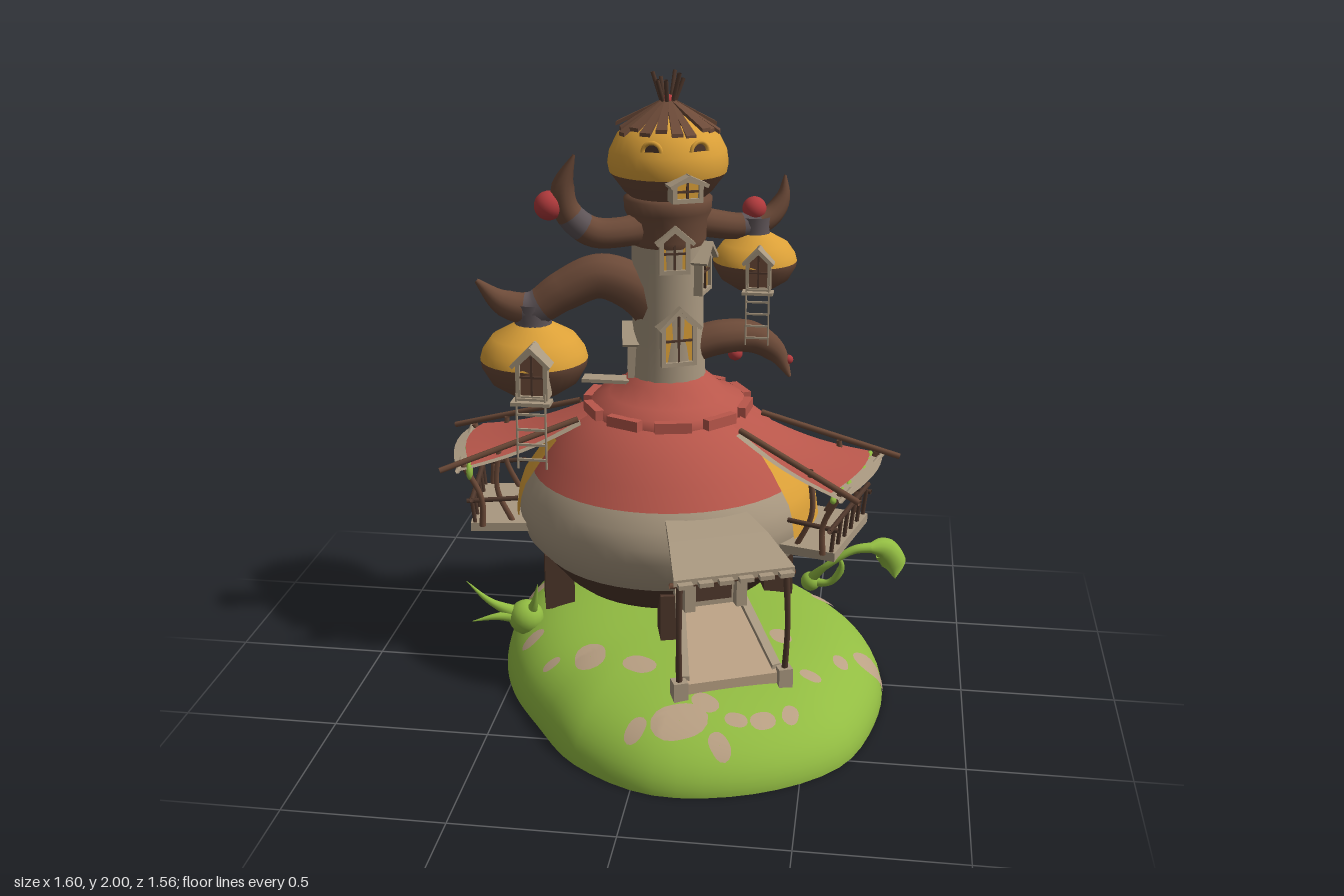
import * as THREE from 'three';
import { ParametricGeometry } from 'three/addons/geometries/ParametricGeometry.js';

const mat = (name, color, side = THREE.DoubleSide) => {
  const m = new THREE.MeshStandardMaterial({ color, side });
  m.name = name;
  return m;
};
const RED = mat('roofRed', 0xb9574b), BEIGE = mat('plaster', 0xa99880), ORANGE = mat('amber', 0xdba038),
  BROWN = mat('bark', 0x6c4a38), DARK = mat('darkWood', 0x50382c), GREEN = mat('grass', 0x92bc42),
  PATCH = mat('earthPatch', 0xbaa184), SLATE = mat('greyBark', 0x5f5558), BERRY = mat('berry', 0xb03a3c);

const CX = -0.02, CZ = -0.22; // axis of the house
const rad = THREE.MathUtils.degToRad;
const V = (p) => new THREE.Vector3(...p);

function add(parent, name, geo, material, x = 0, y = 0, z = 0) {
  const m = new THREE.Mesh(geo, material);
  m.name = name;
  m.position.set(x, y, z);
  parent.add(m);
  return m;
}
function sub(parent, name, x = 0, y = 0, z = 0, ry = 0) {
  const g = new THREE.Group();
  g.name = name;
  g.position.set(x, y, z);
  g.rotation.y = ry;
  parent.add(g);
  return g;
}
const box = (p, name, m, w, h, d, x, y, z) => add(p, name, new THREE.BoxGeometry(w, h, d), m, x, y, z);
const lathe = (pts, seg = 40, a = 0, len = Math.PI * 2) =>
  new THREE.LatheGeometry(pts.map((p) => new THREE.Vector2(...p)), seg, a, len);

// tapered board running along z: width w0 at (y0,z0) to w1 at (y1,z1)
function slab(z0, y0, w0, z1, y1, w1, t) {
  const g = new THREE.BoxGeometry(1, 1, 1), p = g.attributes.position;
  for (let i = 0; i < p.count; i++) {
    const end = p.getZ(i) > 0;
    p.setXYZ(i, p.getX(i) * (end ? w1 : w0), (end ? y1 : y0) + p.getY(i) * t, end ? z1 : z0);
  }
  g.computeVertexNormals();
  return g;
}
// tube through points whose radius follows a list of values; band = grey part of its length
function limb(parent, name, pts, radii, material, band, sides = 12) {
  const curve = new THREE.CatmullRomCurve3(pts.map(V)), n = pts.length * 6;
  const g = new THREE.TubeGeometry(curve, n, 1, sides), p = g.attributes.position, v = new THREE.Vector3();
  for (let i = 0; i <= n; i++) {
    const t = i / n, c = curve.getPointAt(t), f = t * (radii.length - 1), k = Math.min(Math.floor(f), radii.length - 2);
    const r = THREE.MathUtils.lerp(radii[k], radii[k + 1], f - k);
    for (let j = 0; j <= sides; j++) {
      const q = i * (sides + 1) + j;
      v.fromBufferAttribute(p, q).sub(c).multiplyScalar(r).add(c);
      p.setXYZ(q, v.x, v.y, v.z);
    }
  }
  if (!band) return add(parent, name, g, material);
  const a = Math.round(band[0] * n) * sides * 6, b = Math.round(band[1] * n) * sides * 6;
  g.addGroup(0, a, 0);
  g.addGroup(a, b - a, 1);
  g.addGroup(b, n * sides * 6 - b, 0);
  return add(parent, name, g, [material, SLATE]);
}
const stick = (p, name, a, b, r, m) =>
  add(p, name, new THREE.TubeGeometry(new THREE.LineCurve3(V(a), V(b)), 1, r, 6), m);
const ball = (p, x, y, z, r) => add(p, 'berry', new THREE.SphereGeometry(r, 20, 14), BERRY, x, y, z);

// gabled window or door facing local +z, standing on y = 0
function gable(parent, name, w, h, depth, pane) {
  const g = sub(parent, name), e = h * 0.7;
  const outline = (C, k) => {
    const s = new C();
    s.moveTo(-w / 2 + k, k); s.lineTo(w / 2 - k, k); s.lineTo(w / 2 - k, e);
    s.lineTo(0, h - k); s.lineTo(-w / 2 + k, e); s.closePath();
    return s;
  };
  const frame = outline(THREE.Shape, 0);
  frame.holes.push(outline(THREE.Path, 0.014));
  add(g, 'frame', new THREE.ExtrudeGeometry(frame, { depth, bevelEnabled: false }), BEIGE, 0, 0, -depth);
  add(g, 'pane', new THREE.ShapeGeometry(outline(THREE.Shape, 0.008)), pane, 0, 0, -0.012);
  box(g, 'mullion', DARK, 0.007, h * 0.85, 0.008, 0, h * 0.46, -0.008);
  box(g, 'crossbar', DARK, w * 0.8, 0.007, 0.008, 0, h * 0.45, -0.008);
  for (const s of [-1, 1]) {
    const rise = h - e, len = Math.hypot(w / 2, rise) + 0.018;
    const b = box(g, 'gableBoard', BEIGE, len, 0.012, depth + 0.02, s * (w / 4 + 0.004), e + rise / 2 + 0.002, -depth / 2 + 0.008);
    b.rotation.z = -s * Math.atan2(rise, w / 2);
  }
  return g;
}
function ladder(parent, w, y0, y1, z, x) {
  const g = sub(parent, 'ladder', x, 0, z);
  for (const s of [-1, 1]) stick(g, 'ladderRail', [s * w / 2, y0, 0], [s * w / 2, y1, 0], 0.004, BEIGE);
  for (let i = 0; i < 5; i++) box(g, 'rung', BEIGE, w, 0.008, 0.008, 0, y0 + (i + 0.6) * (y1 - y0) / 5, 0);
}

// island: radius by direction, every 22.5 degrees
const RADII = [0.665, 0.70, 0.77, 0.785, 0.775, 0.69, 0.60, 0.59, 0.62, 0.69, 0.82, 0.83, 0.75, 0.68, 0.64, 0.645];
const shore = new THREE.CatmullRomCurve3(RADII.map((r, i) =>
  new THREE.Vector3(0.07 + r * Math.cos(i * Math.PI / 8), 0, r * Math.sin(i * Math.PI / 8))), true);
function groundY(x, z) {
  const f = ((Math.atan2(z, x - 0.07) / (Math.PI / 8)) + 16) % 16, k = Math.floor(f);
  const R = THREE.MathUtils.lerp(RADII[k % 16], RADII[(k + 1) % 16], f - k);
  return 0.225 * Math.sqrt(Math.max(0, 1 - Math.pow(Math.hypot(x - 0.07, z) / R, 3.5)));
}
function island(root) {
  const g = sub(root, 'island');
  const sheet = (height) => (u, v, t) => {
    const s = 0.01 + 0.99 * Math.sin(v * Math.PI / 2), p = shore.getPoint(u % 1);
    t.set(0.07 + (p.x - 0.07) * s, height * Math.sqrt(Math.max(0, 1 - Math.pow(s, 3.5))), p.z * s);
  };
  add(g, 'grassMound', new ParametricGeometry(sheet(0.225), 64, 20), GREEN);
  add(g, 'islandBase', new ParametricGeometry((u, v, t) => sheet(0)(1 - u, v, t), 64, 2), GREEN);
  const spots = [[-0.42, -0.63, 0.04], [-0.13, -0.74, 0.035], [-0.43, 0.12, 0.035], [-0.2, 0.31, 0.06], [-0.03, 0.37, 0.05],
    [0.13, 0.62, 0.075], [0, 0.65, 0.035], [0.4, 0.12, 0.04], [0.51, 0.32, 0.03], [0.38, 0.57, 0.035], [0.46, 0.52, 0.03],
    [0.26, 0.68, 0.035], [0.3, 0.59, 0.03], [0.69, 0.08, 0.05], [0.6, 0.18, 0.03], [0.2, 0.54, 0.04], [0.52, -0.3, 0.035],
    [-0.5, -0.3, 0.04], [0.28, -0.58, 0.035], [0.05, -0.7, 0.03], [-0.33, 0.3, 0.025]];
  spots.forEach(([x, z, r], i) => add(g, 'earthPatch', new ParametricGeometry((u, v, t) => {
    const a = u * Math.PI * 2, q = r * (0.01 + v) * (1 + 0.18 * Math.sin(2 * a + i * 1.7));
    const px = x + Math.cos(a) * q, pz = z + Math.sin(a) * q;
    t.set(px, groundY(px, pz) + 0.005, pz);
  }, 18, 4), PATCH));
  // sprouts
  for (const [x, z, r] of [[0.47, -0.42, 0.035], [-0.48, 0, 0.06]])
    add(g, 'sproutBulb', new THREE.SphereGeometry(r, 16, 12), GREEN, x, 0.17, z);
  limb(g, 'tendril', [[0.46, 0.17, -0.42], [0.53, 0.25, -0.39], [0.62, 0.31, -0.4], [0.69, 0.315, -0.42]], [0.022, 0.012, 0.014, 0.02], GREEN);
  const leaf = limb(g, 'leaf', [[0.67, 0.315, -0.41], [0.72, 0.31, -0.43], [0.76, 0.26, -0.44], [0.77, 0.19, -0.44]], [0.012, 0.045, 0.045, 0.001], GREEN);
  leaf.scale.z = 0.999;
  limb(g, 'tendril', [[0.46, 0.17, -0.42], [0.54, 0.18, -0.4], [0.58, 0.25, -0.39], [0.56, 0.3, -0.39]], [0.02, 0.012, 0.014, 0.001], GREEN);
  for (const [a, b] of [[[-0.6, 0.23, 0.02], [-0.68, 0.3, 0.02]], [[-0.57, 0.18, 0.03], [-0.66, 0.16, 0.04]], [[-0.45, 0.22, 0.02], [-0.43, 0.31, 0.03]]])
    limb(g, 'tendril', [[-0.48, 0.17, 0], a, b], [0.03, 0.013, 0.001], GREEN);
}

// covered balcony facing local +z
function balcony(root, phi) {
  const g = sub(root, 'balcony', CX, 0, CZ, phi);
  const roof = (r0, r1, dw, dy) => new ParametricGeometry((u, v, t) => {
    const x = (u - 0.5) * 2, r = r0 + (r1 - r0) * v, w = 0.09 + dw + 0.12 * v;
    t.set(x * w, 0.885 - 0.13 * v - 0.02 * Math.sin(v * Math.PI) + dy - 0.012 * x * x, r - 0.035 * x * x * v);
  }, 8, 10);
  add(g, 'awningTrim', roof(0.27, 0.725, 0.012, -0.012), BEIGE);
  add(g, 'awningTop', roof(0.27, 0.685, -0.004, 0.004), RED);
  for (const s of [-1, 1]) {
    stick(g, 'awningBeam', [s * 0.1, 0.87, 0.3], [s * 0.225, 0.735, 0.75], 0.01, BROWN);
    limb(g, 'awningPost', [[s * 0.18, 0.52, 0.62], [s * 0.185, 0.62, 0.62], [s * 0.19, 0.75, 0.68]], [0.011, 0.009, 0.011], BROWN, null, 6);
    limb(g, 'innerPost', [[s * 0.15, 0.52, 0.52], [s * 0.15, 0.64, 0.57], [s * 0.15, 0.79, 0.56]], [0.01, 0.009, 0.01], BROWN, null, 6);
    stick(g, 'sideRail', [s * 0.18, 0.62, 0.5], [s * 0.18, 0.61, 0.67], 0.008, DARK);
  }
  stick(g, 'eaveBeam', [-0.23, 0.735, 0.69], [0.23, 0.735, 0.69], 0.009, BEIGE);
  box(g, 'deck', BEIGE, 0.36, 0.03, 0.2, 0, 0.515, 0.56);
  box(g, 'deckBracket', BEIGE, 0.2, 0.03, 0.12, 0, 0.49, 0.53);
  stick(g, 'railTop', [-0.21, 0.615, 0.65], [0.21, 0.625, 0.65], 0.009, DARK);
  for (let i = 0; i < 6; i++) stick(g, 'baluster', [-0.17 + i * 0.068, 0.52, 0.645], [-0.175 + i * 0.07, 0.62, 0.655], 0.007, DARK);
  for (let i = 0; i < 9; i++) {
    const l = add(g, 'eaveLeaf', new THREE.SphereGeometry(1, 8, 6), GREEN, -0.19 + i * 0.0475, 0.722, 0.68 - 0.0015 * (i - 4) ** 2);
    l.scale.set(0.028, 0.016 + 0.008 * (i % 3), 0.012);
  }
  add(g, 'balconyDoor', lathe([[0.518, 0.53], [0.508, 0.6], [0.493, 0.645], [0.465, 0.685], [0.427, 0.74], [0.385, 0.79]], 10, -0.24, 0.48), ORANGE);
}

function entrance(root) {
  const g = sub(root, 'entrance', CX, 0, CZ, rad(23.5));
  box(g, 'vestibule', BEIGE, 0.2, 0.25, 0.14, 0, 0.515, 0.46);
  box(g, 'doorRecess', DARK, 0.12, 0.18, 0.008, 0, 0.5, 0.533);
  for (const s of [-1, 1]) box(g, 'doorJamb', BEIGE, 0.035, 0.25, 0.04, s * 0.085, 0.515, 0.545);
  add(g, 'ramp', slab(0.46, 0.405, 0.16, 0.735, 0.21, 0.33, 0.045), PATCH);
  add(g, 'canopy', slab(0.44, 0.655, 0.265, 0.58, 0.635, 0.32, 0.02), BEIGE);
  add(g, 'canopy', slab(0.58, 0.635, 0.32, 0.75, 0.585, 0.385, 0.02), BEIGE);
  for (let i = 0; i < 6; i++) box(g, 'canopyShingle', BEIGE, 0.045, 0.014, 0.04, -0.16 + i * 0.064, 0.58, 0.755);
  stick(g, 'canopyBeam', [-0.2, 0.57, 0.73], [0.2, 0.57, 0.73], 0.009, BROWN);
  for (const s of [-1, 1]) {
    const curb = add(g, 'rampCurb', slab(0.48, 0.41, 0.03, 0.74, 0.23, 0.03, 0.05), BEIGE, s * 0.125);
    curb.rotation.y = s * 0.22;
    curb.position.x = s * -0.012;
    box(g, 'footStone', BEIGE, 0.045, 0.07, 0.045, s * 0.17, 0.215, 0.735);
    limb(g, 'canopyPost', [[s * 0.17, 0.2, 0.735], [s * 0.175, 0.4, 0.745], [s * 0.17, 0.58, 0.735]], [0.011, 0.009, 0.011], DARK, null, 6);
  }
}

// hanging hut with door and ladder
function pod(root, x, y, z, k) {
  const g = sub(root, 'hangingHut', x, y, z);
  g.scale.setScalar(k);
  add(g, 'hutBowl', lathe([[0, -0.12], [0.08, -0.113], [0.145, -0.07], [0.176, -0.015], [0.18, 0.01]], 32), BROWN);
  add(g, 'hutCap', lathe([[0.18, 0.01], [0.172, 0.04], [0.14, 0.085], [0.06, 0.13]], 32), ORANGE);
  add(g, 'hutNeck', lathe([[0.065, 0.115], [0.06, 0.14], [0.065, 0.2]], 20), SLATE);
  gable(g, 'hutDoor', 0.105, 0.17, 0.07, BROWN).position.set(0.03, -0.08, 0.19);
  box(g, 'hutStep', BEIGE, 0.13, 0.012, 0.06, 0.03, -0.085, 0.19);
  ladder(g, 0.095, -0.31, -0.05, 0.205, 0.03);
}

function house(root) {
  const g = sub(root, 'house', CX, 0, CZ);
  add(g, 'bodyBase', lathe([[0, 0.285], [0.33, 0.287], [0.37, 0.32], [0.435, 0.4]], 48), DARK);
  add(g, 'bodyWall', lathe([[0.435, 0.4], [0.485, 0.455], [0.507, 0.52], [0.508, 0.57], [0.495, 0.63], [0.46, 0.68]], 48), BEIGE);
  add(g, 'bodyRoof', lathe([[0.46, 0.68], [0.415, 0.745], [0.36, 0.81], [0.3, 0.86], [0.25, 0.885]], 48), RED);
  add(g, 'roofCollar', lathe([[0.262, 0.87], [0.262, 0.915], [0.2, 0.935], [0.15, 0.985], [0.12, 1.01]], 16), RED);
  for (let i = 0; i < 10; i++) {
    const a = i * Math.PI / 5 + 0.2;
    box(g, 'collarBlock', RED, 0.12, 0.035, 0.03, Math.sin(a) * 0.265, 0.9, Math.cos(a) * 0.265).rotation.y = a;
  }
  for (const a of [14, 104, 194, 284]) {
    const leg = sub(g, 'leg', Math.cos(rad(a)) * 0.38, 0, -Math.sin(rad(a)) * 0.38, rad(a));
    box(leg, 'legPost', DARK, 0.1, 0.2, 0.14, 0, 0.28, 0);
  }
  // tower and its crown
  add(g, 'towerWall', lathe([[0.128, 0.97], [0.118, 1.15], [0.12, 1.45]], 28), BEIGE);
  add(g, 'towerTop', lathe([[0.12, 1.45], [0.126, 1.47], [0.128, 1.53], [0.142, 1.56], [0.145, 1.6], [0.12, 1.61]], 28), BROWN);
  add(g, 'crownBase', lathe([[0.11, 1.595], [0.145, 1.625], [0.19, 1.685]], 32), BROWN);
  add(g, 'crownDome', lathe([[0.19, 1.685], [0.196, 1.715], [0.19, 1.755], [0.165, 1.805], [0.12, 1.845], [0, 1.875]], 32), ORANGE);
  const windows = [[25, 0.128, 1.06, 0.12, 0.19], [18, 0.128, 1.37, 0.1, 0.15], [-80, 0.135, 1.0, 0.11, 0.17], [80, 0.135, 1.29, 0.11, 0.16], [25, 0.215, 1.62, 0.1, 0.08]];
  for (const [deg, r, y, w, h] of windows) {
    const a = rad(deg), win = gable(g, 'towerWindow', w, h, 0.06, ORANGE);
    win.position.set(Math.sin(a) * r, y, Math.cos(a) * r);
    win.rotation.y = a;
  }
  for (const deg of [-8, 40, 180]) {
    const hood = sub(g, 'domeVent', Math.sin(rad(deg)) * 0.175, 1.775, Math.cos(rad(deg)) * 0.175, rad(deg));
    add(hood, 'ventArch', new THREE.TorusGeometry(0.03, 0.007, 6, 12, Math.PI), ORANGE, 0, 0, 0.01);
    add(hood, 'ventHole', new THREE.CircleGeometry(0.028, 12, 0, Math.PI), DARK, 0, 0, 0.01);
  }
  // plank thatch
  for (let i = 0; i < 20; i++) {
    const p = sub(g, 'thatch', 0, 0, 0, i * Math.PI / 10);
    add(p, 'thatchPlank', slab(0.02, 1.908, 0.014, 0.155 + 0.012 * (i % 2), 1.835 - 0.01 * (i % 3), 0.036, 0.012), BROWN);
    if (i % 3 === 0) stick(p, 'topStick', [0, 1.88, 0.012], [0, 1.98 + 0.02 * ((i / 3) % 2), 0.05], 0.007, DARK);
  }
  ball(g, 0, 1.905, 0, 0.025);
}

function branches(root) {
  const g = sub(root, 'branches');
  limb(g, 'leftBranch', [[-0.04, 1.22, -0.2], [-0.13, 1.3, -0.19], [-0.24, 1.34, -0.17], [-0.36, 1.29, -0.15], [-0.46, 1.23, -0.14], [-0.56, 1.25, -0.13], [-0.645, 1.32, -0.13]],
    [0.085, 0.08, 0.075, 0.07, 0.06, 0.045, 0.008], BROWN, [0.64, 0.74]);
  limb(g, 'upperLeftBranch', [[-0.05, 1.52, -0.2], [-0.15, 1.5, -0.13], [-0.25, 1.51, -0.08], [-0.32, 1.58, -0.05], [-0.33, 1.66, -0.04], [-0.295, 1.76, -0.05]],
    [0.06, 0.05, 0.05, 0.045, 0.038, 0.004], BROWN, [0.5, 0.6]);
  limb(g, 'upperRightBranch', [[0.03, 1.53, -0.24], [0.12, 1.5, -0.29], [0.22, 1.485, -0.34], [0.3, 1.51, -0.38], [0.34, 1.57, -0.41], [0.345, 1.64, -0.43]],
    [0.06, 0.048, 0.045, 0.042, 0.03, 0.004], BROWN, [0.45, 0.58]);
  limb(g, 'lowerRightBranch', [[0.04, 1.09, -0.23], [0.15, 1.12, -0.26], [0.25, 1.11, -0.31], [0.33, 1.05, -0.35], [0.38, 0.96, -0.36]],
    [0.06, 0.06, 0.055, 0.04, 0.006], BROWN);
  ball(g, -0.375, 1.6, -0.03, 0.047);
  ball(g, 0.25, 1.54, -0.355, 0.04);
  ball(g, 0.2, 1.06, -0.28, 0.025);
  ball(g, 0.375, 1.02, -0.36, 0.016);
  box(g, 'plankBridge', BEIGE, 0.16, 0.012, 0.06, -0.22, 0.985, -0.17);
}

export function createModel() {
  const root = new THREE.Group();
  root.name = 'treeHouse';
  island(root);
  house(root);
  entrance(root);
  balcony(root, rad(74.3));
  balcony(root, rad(-82));
  branches(root);
  pod(root, -0.46, 1.05, -0.145, 1);
  pod(root, 0.255, 1.36, -0.35, 0.78);
  return root;
}
